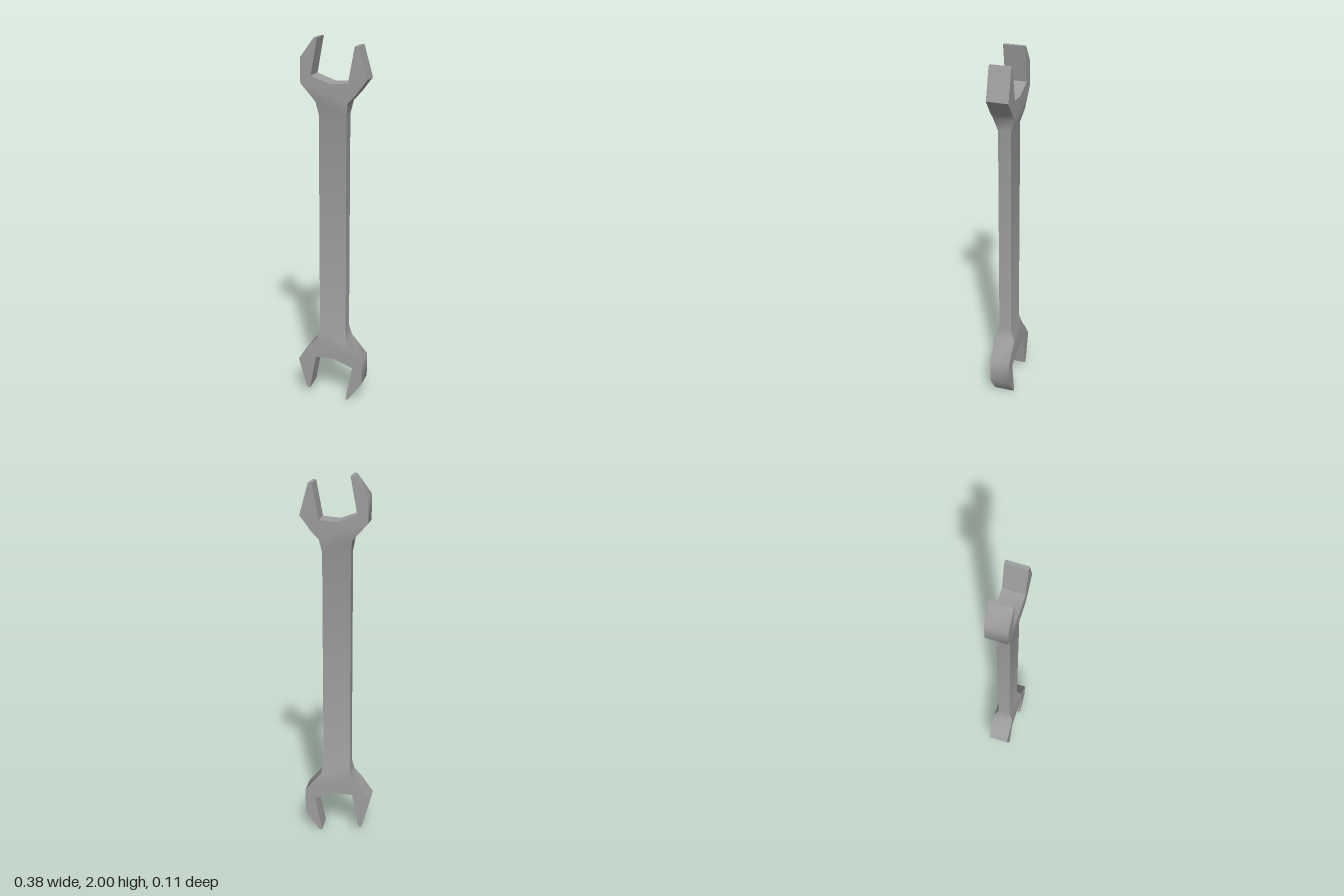
import * as THREE from 'three';
import { toCreasedNormals } from 'three/addons/utils/BufferGeometryUtils.js';

// Counter-clockwise outlines of the two open jaws, each from neck to neck
const upperJaw = [
  [0.09, 1.68], [0.13, 1.722], [0.189, 1.80], [0.143, 1.962], [0.124, 1.962],
  [0.09, 1.78], [-0.003, 1.772], [-0.105, 1.81], [-0.07, 2.0], [-0.086, 2.0],
  [-0.16, 1.90], [-0.16, 1.77], [-0.08, 1.68],
];
const lowerJaw = [
  [-0.082, 0.355], [-0.13, 0.30], [-0.189, 0.216], [-0.142, 0.044], [-0.124, 0.042],
  [-0.088, 0.241], [0.017, 0.243], [0.122, 0.203], [0.085, 0], [0.102, 0.003],
  [0.178, 0.112], [0.178, 0.25], [0.09, 0.355],
];
// Ends of the shaft
const shaftTop = [[0.078, 1.61], [-0.07, 1.61]];
const shaftBottom = [[-0.07, 0.42], [0.078, 0.42]];

// Half thickness: thick jaws, thin shaft, tapered necks
function halfDepth(y) {
  return y > 0.4 && y < 1.63 ? 0.034 : 0.056;
}

function wrenchGeometry() {
  const pos = [];
  const add = ([x, y], side) => pos.push(x, y, side * halfDepth(y));

  // Front and back faces, split at the necks so the taper stays clean
  const sections = [
    upperJaw,
    [shaftTop[0], upperJaw[0], upperJaw.at(-1), shaftTop[1]],
    [...shaftBottom, ...shaftTop],
    [lowerJaw.at(-1), shaftBottom[1], shaftBottom[0], lowerJaw[0]],
    lowerJaw,
  ];
  for (const pts of sections) {
    const contour = pts.map(([x, y]) => new THREE.Vector2(x, y));
    for (const [a, b, c] of THREE.ShapeUtils.triangulateShape(contour, [])) {
      const ccw = THREE.ShapeUtils.area([contour[a], contour[b], contour[c]]) > 0;
      const tri = ccw ? [a, b, c] : [a, c, b];
      tri.forEach((i) => add(pts[i], 1));
      tri.reverse().forEach((i) => add(pts[i], -1));
    }
  }

  // Side walls around the whole outline
  const outline = [
    shaftTop[0], ...upperJaw, shaftTop[1],
    shaftBottom[0], ...lowerJaw, shaftBottom[1],
  ];
  outline.forEach((p, i) => {
    const q = outline[(i + 1) % outline.length];
    add(p, 1); add(p, -1); add(q, -1);
    add(p, 1); add(q, -1); add(q, 1);
  });

  const geometry = new THREE.BufferGeometry();
  geometry.setAttribute('position', new THREE.Float32BufferAttribute(pos, 3));
  return toCreasedNormals(geometry, 0.75);
}

export function createModel() {
  const group = new THREE.Group();
  group.name = 'openEndedWrench';
  const material = new THREE.MeshStandardMaterial({ color: 0x9e9e9e });
  const body = new THREE.Mesh(wrenchGeometry(), material);
  body.name = 'wrenchBody';
  group.add(body);
  return group;
}
